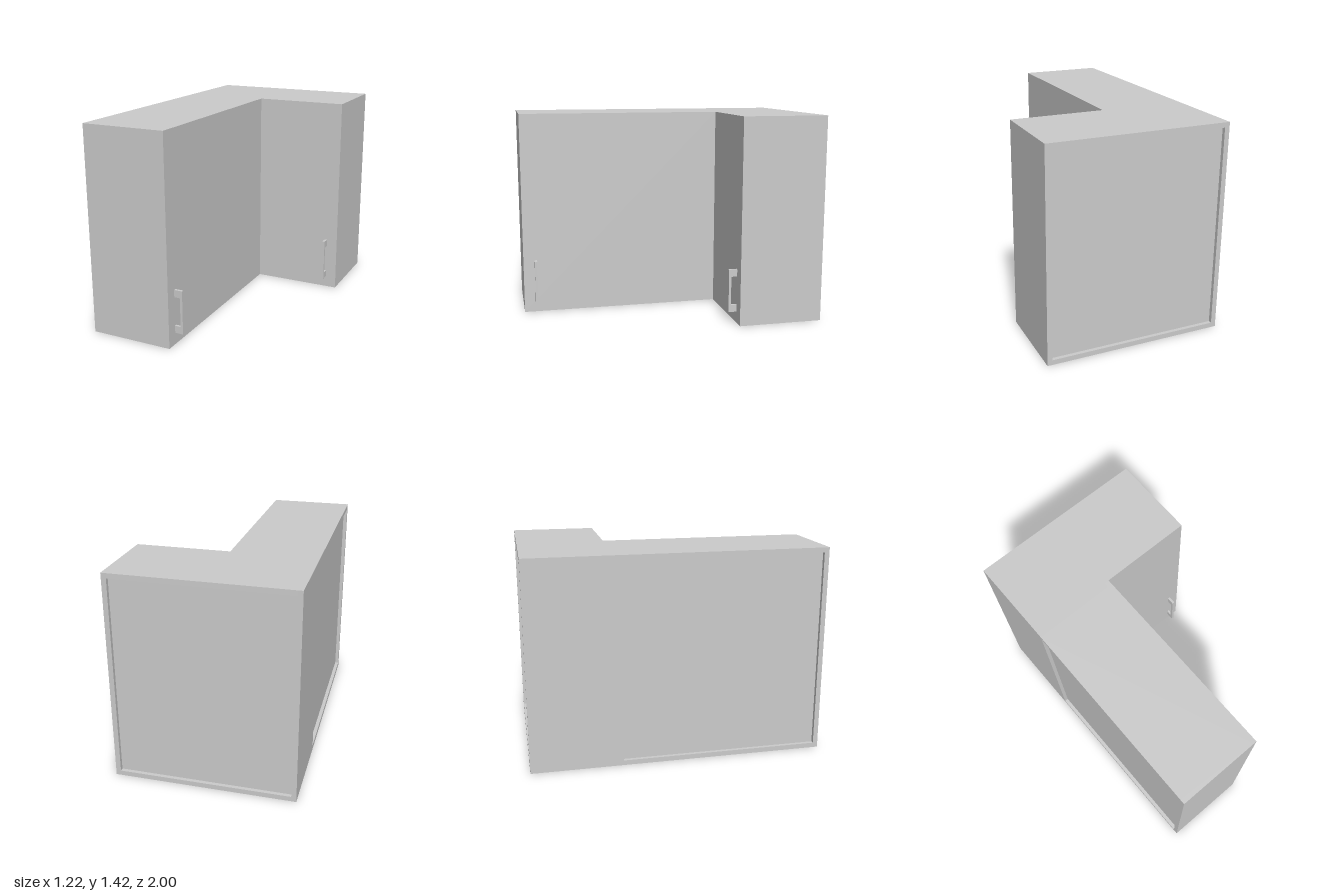
import * as THREE from 'three';

const HEIGHT = 1.42;
const BOARD = 0.033; // board thickness
const RECESS = 0.025; // inset of the back panel

const material = new THREE.MeshStandardMaterial({ color: 0xcccccc });

function board(parent, name, [w, h, d], [x, y, z]) {
  const mesh = new THREE.Mesh(new THREE.BoxGeometry(w, h, d), material);
  mesh.name = name;
  mesh.position.set(x, y, z);
  parent.add(mesh);
}

// Square C-shaped pull: profile in (projection, height), extruded to its width
function handle() {
  const out = 0.058, grip = 0.041, low = 0.08, high = 0.38, foot = 0.05, width = 0.018;
  const shape = new THREE.Shape([
    [0, low], [out, low], [out, high], [0, high],
    [0, high - foot], [grip, high - foot], [grip, low + foot], [0, low + foot],
  ].map(([x, y]) => new THREE.Vector2(x, y)));
  const geometry = new THREE.ExtrudeGeometry(shape, { depth: width, bevelEnabled: false });
  geometry.translate(0, 0, -width / 2);
  geometry.rotateY(-Math.PI / 2); // projection now points along +z
  const mesh = new THREE.Mesh(geometry, material);
  mesh.name = 'handle';
  return mesh;
}

// Cabinet with its back edge on z = 0 and its door facing +z
function cabinet(name, width, depth, handleX) {
  const group = new THREE.Group();
  group.name = name;
  const carcass = depth - BOARD; // depth behind the door
  const inner = width - 2 * BOARD;

  for (const side of [-1, 1]) {
    board(group, side < 0 ? 'rightSide' : 'leftSide', [BOARD, HEIGHT, carcass],
      [side * (width - BOARD) / 2, HEIGHT / 2, carcass / 2]);
  }
  board(group, 'bottom', [inner, BOARD, carcass], [0, BOARD / 2, carcass / 2]);
  board(group, 'top', [inner, BOARD, carcass], [0, HEIGHT - BOARD / 2, carcass / 2]);
  board(group, 'backPanel', [inner, HEIGHT - 2 * BOARD, 0.015], [0, HEIGHT / 2, RECESS + 0.0075]);
  board(group, 'door', [width, HEIGHT, BOARD], [0, HEIGHT / 2, depth - BOARD / 2]);

  const pull = handle();
  pull.position.set(handleX, 0, depth);
  group.add(pull);
  return group;
}

export function createModel() {
  const model = new THREE.Group();
  model.name = 'cornerCabinet';
  const halfX = 0.608, innerX = -0.027, innerZ = -0.413;

  // Cabinet along the back
  const back = cabinet('backCabinet', 2 * halfX, innerZ + 1, 0.522);
  back.position.z = -1;
  model.add(back);

  // Cabinet along the side, turned so its door faces +x
  const midZ = (1 + innerZ) / 2;
  const wing = cabinet('sideCabinet', 1 - innerZ, innerX + halfX, midZ - 0.914);
  wing.rotation.y = Math.PI / 2;
  wing.position.set(-halfX, 0, midZ);
  model.add(wing);

  return model;
}
